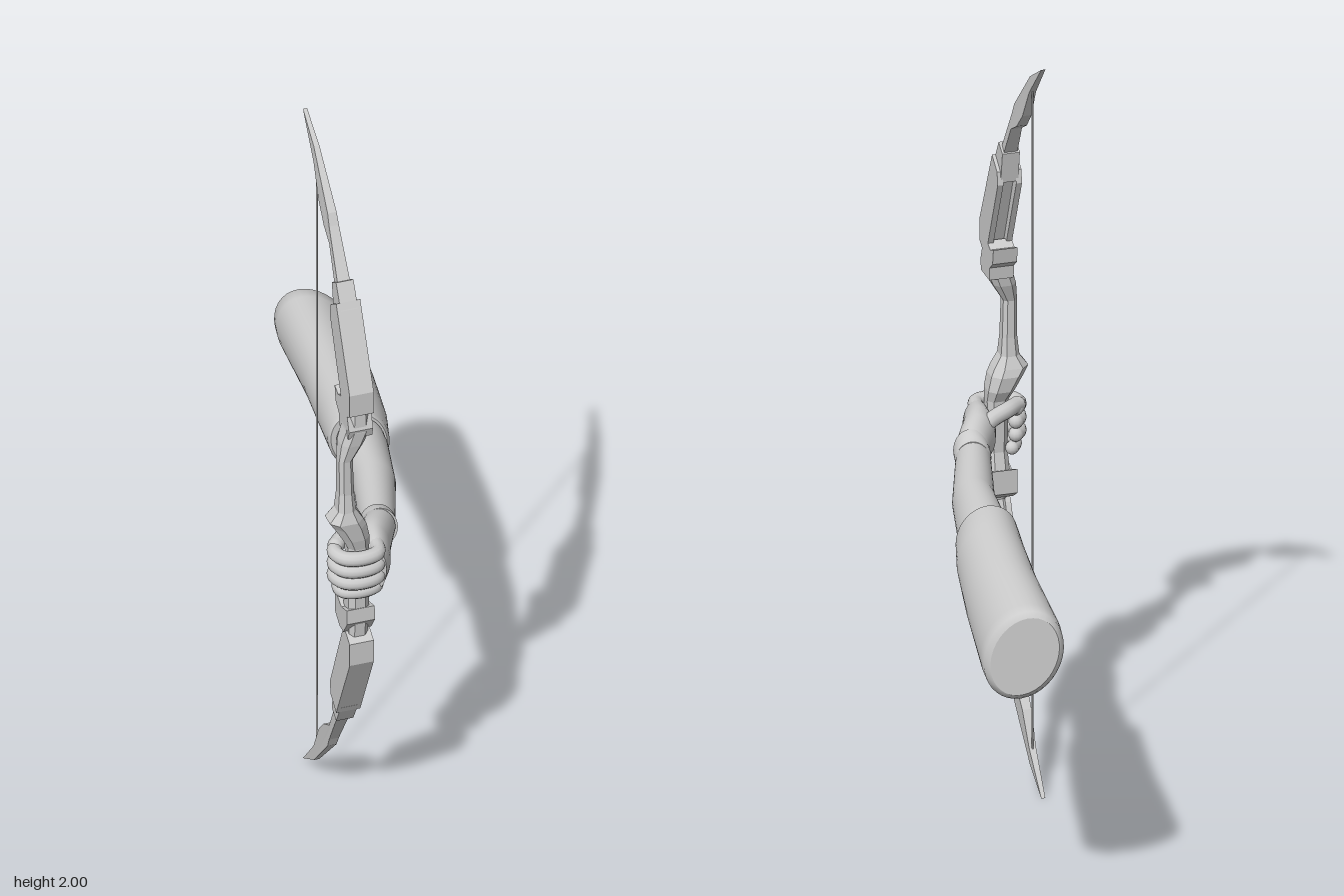
import * as THREE from 'three';

const BOW_X = -0.15;
const V = (x, y, z) => new THREE.Vector3(x, y, z);
const smooth = () => new THREE.MeshStandardMaterial({ color: 0xcccccc });
const faceted = () => new THREE.MeshStandardMaterial({ color: 0xcccccc, flatShading: true });

function add(parent, name, geometry, material) {
  const mesh = new THREE.Mesh(geometry, material);
  mesh.name = name;
  parent.add(mesh);
  return mesh;
}

// Skin a stack of equal-length rings and close both ends with flat caps.
function skin(rings) {
  const n = rings[0].length, pos = [], idx = [];
  const put = (p) => pos.push(p.x, p.y, p.z) / 3 - 1;
  rings.forEach((ring) => ring.forEach(put));
  for (let i = 0; i < rings.length - 1; i++) {
    for (let j = 0; j < n; j++) {
      const a = i * n + j, b = i * n + (j + 1) % n;
      idx.push(a, b, b + n, a, b + n, a + n);
    }
  }
  [rings[0], rings[rings.length - 1]].forEach((ring, end) => {
    const middle = ring.reduce((s, p) => s.add(p), V(0, 0, 0)).divideScalar(n);
    const c = put(middle);
    ring.forEach(put);
    for (let j = 0; j < n; j++) {
      const a = c + 1 + j, b = c + 1 + (j + 1) % n;
      if (end) idx.push(c, a, b); else idx.push(c, b, a);
    }
  });
  const g = new THREE.BufferGeometry();
  g.setAttribute('position', new THREE.Float32BufferAttribute(pos, 3));
  g.setIndex(idx);
  g.computeVertexNormals();
  return g;
}

// Oval cross-section of a limb running along z.
function oval([x, y, z, a, b, yaw = 0, tilt = 0], sides = 36) {
  const turn = new THREE.Euler(0, yaw, tilt, 'YXZ');
  return Array.from({ length: sides }, (_, i) => {
    const t = (i / sides) * Math.PI * 2;
    return V(a * Math.cos(t), b * Math.sin(t), 0).applyEuler(turn).add(V(x, y, z));
  });
}

// Chamfered rectangular section of the riser running along y.
function block([y, x0, x1, z0, z1]) {
  const c = Math.min(x1 - x0, z1 - z0) * 0.25;
  return [
    [x0, z0 + c], [x0 + c, z0], [x1 - c, z0], [x1, z0 + c],
    [x1, z1 - c], [x1 - c, z1], [x0 + c, z1], [x0, z1 - c],
  ].reverse().map(([x, z]) => V(x, y, z));
}

// Side outline given as (z, y), given a thickness along x.
function plate(points, width, flip = false, offset = 0) {
  const shape = new THREE.Shape(points.map(([z, y]) => new THREE.Vector2(z, flip ? 2 - y : y)));
  const g = new THREE.ExtrudeGeometry(shape, { depth: width, bevelEnabled: false });
  return g.translate(0, 0, -width / 2).rotateY(-Math.PI / 2).translate(BOW_X + offset, 0, 0);
}

function buildBowLimb(flip) {
  const limb = new THREE.Group();
  limb.name = flip ? 'lowerBowLimb' : 'upperBowLimb';

  // Blade narrows toward its tip
  const blade = plate([
    [0.17, 2], [0.26, 1.945], [0.38, 1.82], [0.395, 1.79], [0.5, 1.62], [0.465, 1.6],
    [0.45, 1.655], [0.4, 1.742], [0.355, 1.768], [0.31, 1.815], [0.262, 1.9],
  ], 0.036, flip);
  const p = blade.attributes.position;
  for (let i = 0; i < p.count; i++) {
    const reach = Math.max(0, (Math.abs(p.getY(i) - 1) - 0.65) / 0.35);
    p.setX(i, BOW_X + (p.getX(i) - BOW_X) * (1 - 0.7 * reach));
  }
  blade.computeVertexNormals();
  add(limb, 'blade', blade, faceted());

  // Housing with a channel along its inner side
  const front = [[0.505, 1.63], [0.61, 1.415], [0.61, 1.35], [0.567, 1.325]];
  add(limb, 'housingCore', plate([...front, [0.57, 1.35], [0.478, 1.575], [0.478, 1.6]], 0.034, flip), faceted());
  for (const s of [-1, 1]) {
    const rail = plate([...front, [0.55, 1.35], [0.456, 1.565], [0.462, 1.6]], 0.015, flip, s * 0.0245);
    add(limb, 'housingRail', rail, faceted());
  }
  add(limb, 'limbClamp', plate([[0.478, 1.675], [0.445, 1.655], [0.46, 1.57], [0.515, 1.61]], 0.046, flip), faceted());
  return limb;
}

function buildBow() {
  const bow = new THREE.Group();
  bow.name = 'bow';
  bow.add(buildBowLimb(false), buildBowLimb(true));

  // Riser: y, x range, z range; it swings aside above the grip
  const riser = [
    [0.66, -0.175, -0.125, 0.55, 0.595],
    [0.74, -0.178, -0.122, 0.535, 0.6],
    [0.79, -0.176, -0.124, 0.548, 0.6],
    [0.93, -0.178, -0.122, 0.545, 0.6],
    [0.96, -0.192, -0.122, 0.53, 0.606],
    [1.0, -0.215, -0.13, 0.526, 0.61],
    [1.02, -0.228, -0.14, 0.532, 0.612],
    [1.05, -0.206, -0.158, 0.545, 0.603],
    [1.1, -0.201, -0.162, 0.55, 0.595],
    [1.2, -0.201, -0.165, 0.552, 0.593],
    [1.25, -0.195, -0.135, 0.535, 0.6],
    [1.29, -0.183, -0.12, 0.53, 0.603],
    [1.35, -0.175, -0.125, 0.555, 0.6],
  ];
  add(bow, 'riser', skin(riser.map(block)), faceted());

  // Brackets joining the riser to the limb housings
  add(bow, 'upperBracket', plate([
    [0.605, 1.3], [0.598, 1.275], [0.528, 1.275], [0.525, 1.31], [0.5, 1.33],
    [0.493, 1.372], [0.52, 1.362], [0.55, 1.375], [0.59, 1.34],
  ], 0.064), faceted());
  add(bow, 'lowerBracket', plate([
    [0.602, 0.75], [0.56, 0.735], [0.512, 0.755], [0.512, 0.69], [0.545, 0.668], [0.575, 0.668], [0.605, 0.71],
  ], 0.074), faceted());

  // String
  const string = add(bow, 'bowstring', new THREE.CylinderGeometry(0.0025, 0.0025, 1.82, 8), smooth());
  string.position.set(BOW_X, 1, 0.262);
  return bow;
}

// Rounded finger following a curve
function finger(parent, name, points, radius) {
  const group = new THREE.Group();
  group.name = name;
  add(group, 'fingerBody', new THREE.TubeGeometry(new THREE.CatmullRomCurve3(points), 24, radius, 12), smooth());
  for (const end of [points[0], points[points.length - 1]]) {
    add(group, 'fingerEnd', new THREE.SphereGeometry(radius, 12, 8), smooth()).position.copy(end);
  }
  parent.add(group);
}

function buildArm() {
  const arm = new THREE.Group();
  arm.name = 'arm';

  // Sections: centre x, y, z, half width, half height, yaw, tilt
  const parts = {
    upperArm: [
      [0.134, 0.748, -0.597, 0.08, 0.112, -0.36, 0.45],
      [0.134, 0.749, -0.588, 0.094, 0.126, -0.36, 0.45],
      [0.129, 0.752, -0.55, 0.096, 0.127, -0.34, 0.45],
      [0.102, 0.778, -0.3, 0.088, 0.112, -0.28, 0.4],
      [0.074, 0.8, -0.11, 0.084, 0.1, -0.24, 0.35],
      [0.054, 0.813, -0.01, 0.077, 0.094, -0.2, 0.3],
      [0.053, 0.813, -0.003, 0.07, 0.086, -0.2, 0.3],
    ],
    forearm: [
      [0.055, 0.813, 0.005, 0.062, 0.078, -0.2, 0.2],
      [0.05, 0.815, 0.04, 0.063, 0.077, -0.2, 0.2],
      [0.024, 0.825, 0.2, 0.054, 0.066, -0.25, 0.1],
      [-0.035, 0.846, 0.395, 0.045, 0.052, -0.3],
    ],
    wristBand: [
      [-0.034, 0.85, 0.392, 0.043, 0.05, -0.3],
      [-0.036, 0.853, 0.4, 0.046, 0.057, -0.3],
      [-0.04, 0.86, 0.43, 0.045, 0.058, -0.3],
    ],
    palm: [
      [-0.038, 0.858, 0.405, 0.04, 0.048, -0.3],
      [-0.046, 0.865, 0.435, 0.043, 0.054, -0.3],
      [-0.072, 0.868, 0.48, 0.046, 0.066, -0.3],
      [-0.088, 0.867, 0.52, 0.043, 0.071, -0.3],
      [-0.098, 0.862, 0.57, 0.036, 0.07, -0.3],
      [-0.106, 0.86, 0.605, 0.022, 0.058, -0.3],
    ],
  };
  for (const [name, rings] of Object.entries(parts)) {
    add(arm, name, skin(rings.map((r) => oval(r))), smooth());
  }

  // Four fingers curl around the grip
  for (let i = 0; i < 4; i++) {
    const y = 0.913 - i * 0.036, r = i === 3 ? 0.0175 : 0.0195, d = i === 3 ? 0.01 : 0;
    finger(arm, 'finger', [
      V(-0.095, y, 0.56), V(-0.107, y, 0.604 - d), V(-0.15, y, 0.616 - d),
      V(-0.192, y, 0.602 - d), V(-0.207 + d, y, 0.565), V(-0.19 + d, y, 0.535),
    ], r);
  }
  // Thumb crosses behind the grip
  finger(arm, 'thumb', [
    V(-0.075, 0.89, 0.47), V(-0.115, 0.91, 0.492), V(-0.16, 0.92, 0.512), V(-0.197, 0.918, 0.545),
  ], 0.021);
  return arm;
}

export function createModel() {
  const model = new THREE.Group();
  model.name = 'bowAndArm';
  model.add(buildBow(), buildArm());
  return model;
}
